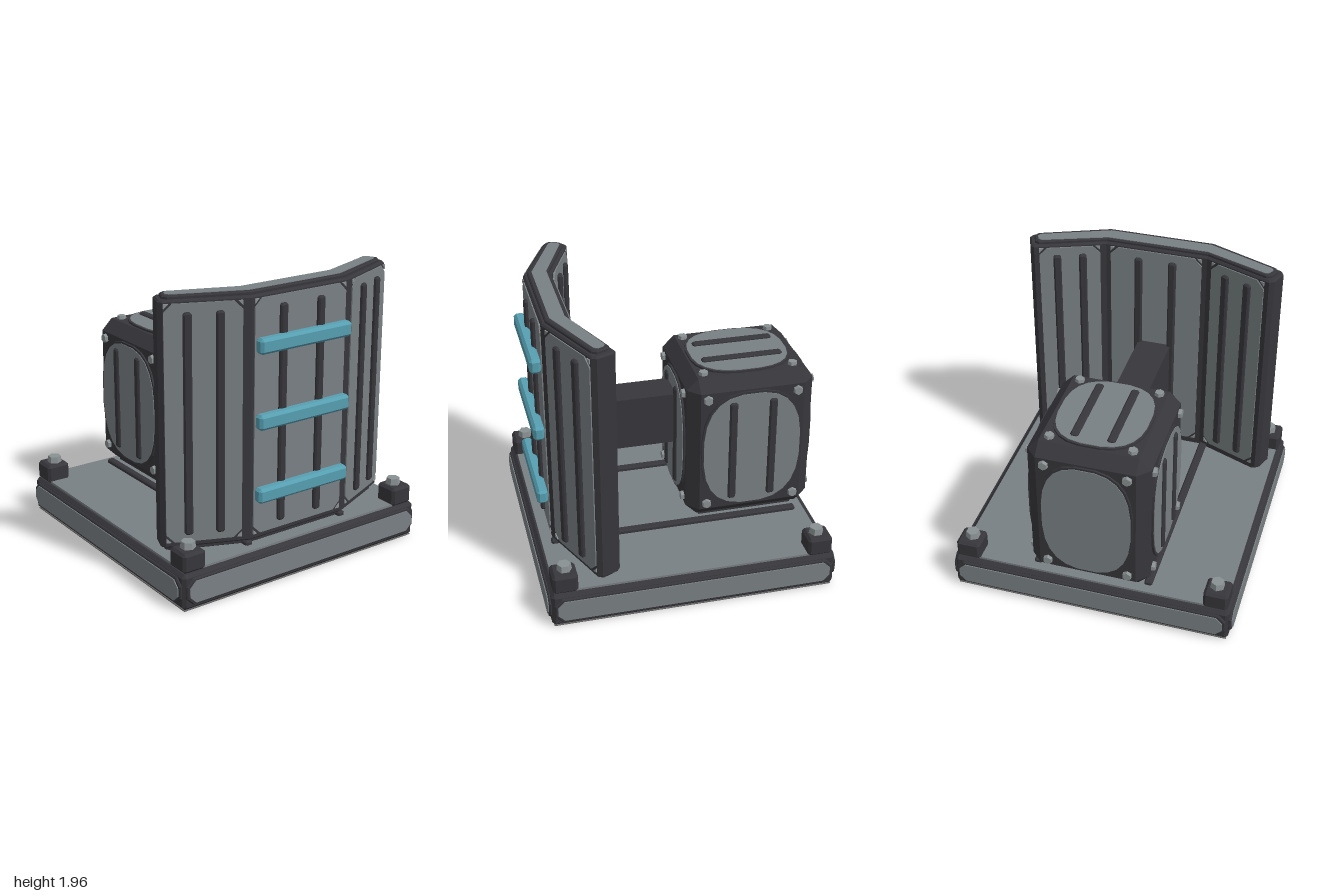
import * as THREE from 'three';
import { ConvexGeometry } from 'three/addons/geometries/ConvexGeometry.js';

const mat = (name, color) => Object.assign(new THREE.MeshStandardMaterial({ color }), { name });

export function createModel() {
  const dark = mat('darkFrame', 0x37363b);
  const grey = mat('greyPlate', 0x798083);
  const bolt = mat('boltMetal', 0x8a9193);
  const blue = mat('blueRung', 0x569fb1);
  const under = mat('underside', 0x686868);

  const model = new THREE.Group();
  model.name = 'shieldedBlock';

  const add = (parent, name, geo, material, x = 0, y = 0, z = 0) => {
    const m = new THREE.Mesh(geo, material);
    m.name = name;
    m.position.set(x, y, z);
    parent.add(m);
    return m;
  };
  const group = (parent, name, x = 0, y = 0, z = 0, rx = 0, ry = 0) => {
    const g = new THREE.Group();
    g.name = name;
    g.position.set(x, y, z);
    g.rotation.set(rx, ry, 0);
    parent.add(g);
    return g;
  };

  // Extrusion of an outline from z = 0 to z = depth, with bevelled rims
  const slab = (pts, depth, bevel = 0) => {
    const shape = new THREE.Shape(pts.map(([x, y]) => new THREE.Vector2(x, y)));
    return new THREE.ExtrudeGeometry(shape, {
      depth: depth - 2 * bevel, bevelEnabled: bevel > 0, bevelSize: bevel,
      bevelThickness: bevel, bevelOffset: -bevel, bevelSegments: 1,
    }).translate(0, 0, bevel);
  };
  const octagon = (w, h, c) => {
    const x = w / 2, y = h / 2;
    return [[x - c, -y], [x, c - y], [x, y - c], [x - c, y], [c - x, y], [-x, y - c], [-x, c - y], [c - x, -y]];
  };
  const oval = (w, h) => Array.from({ length: 24 }, (_, i) => {
    const a = ((i + 0.5) / 24) * Math.PI * 2, c = Math.cos(a), s = Math.sin(a);
    return [Math.sign(c) * Math.abs(c) ** 0.75 * w / 2, Math.sign(s) * Math.abs(s) ** 0.75 * h / 2];
  });
  // Box with every edge cut off
  const chamferBox = (w, h, d, c) => {
    const pts = [], half = [w / 2, h / 2, d / 2];
    for (const sx of [-1, 1]) for (const sy of [-1, 1]) for (const sz of [-1, 1])
      for (let axis = 0; axis < 3; axis++) {
        const v = half.map((n, i) => (i === axis ? n : n - c));
        pts.push(new THREE.Vector3(v[0] * sx, v[1] * sy, v[2] * sz));
      }
    return new ConvexGeometry(pts);
  };
  const hexBolt = (r, h) => new THREE.CylinderGeometry(r * 0.85, r, h, 6).toNonIndexed();
  const flat = (g) => { g.computeVertexNormals(); return g; };
  // Pair of raised upright strips on a face
  const strips = (face, dx, length, height, w = 0.055) => {
    for (const s of [-1, 1])
      add(face, 'strip', slab(octagon(w, length, 0.012), height, 0.01), dark, s * dx);
  };

  // Base
  const base = group(model, 'base');
  add(base, 'baseBody', chamferBox(1.956, 0.246, 1.956, 0.022), dark, 0, 0.129, 0);
  add(base, 'basePlinth', new THREE.BoxGeometry(1.9, 0.03, 1.9), dark, 0, 0.02, 0);
  add(base, 'undersidePlate', new THREE.BoxGeometry(1.93, 0.007, 1.93), under, 0, 0.0035, 0);
  const top = group(base, 'baseTop', 0, 0.25, 0, -Math.PI / 2);
  add(top, 'topPlate', slab(octagon(1.89, 1.89, 0.04), 0.017), grey);
  for (let i = 0; i < 4; i++) {
    const a = (i * Math.PI) / 2;
    const side = group(base, 'baseSide', Math.sin(a) * 0.97, 0.135, Math.cos(a) * 0.97, 0, a);
    add(side, 'sideRim', slab(octagon(1.92, 0.185, 0.05), 0.023, 0.008), dark);
    add(side, 'sidePlate', slab(octagon(1.88, 0.15, 0.045), 0.03), grey);
  }
  for (const sx of [-1, 1]) {
    add(base, 'rail', chamferBox(0.055, 0.045, 1.76, 0.01), dark, sx * 0.393, 0.272, 0);
    for (const sz of [-1, 1]) {
      add(base, 'cornerBlock', chamferBox(0.17, 0.135, 0.17, 0.018), dark, sx * 0.877, 0.318, sz * 0.877);
      add(base, 'cornerBolt', flat(hexBolt(0.053, 0.05)), bolt, sx * 0.87, 0.405, sz * 0.87);
    }
  }

  // Bent shield: half outline in plan, mirrored, extruded upward
  const shield = group(model, 'shield');
  const upright = (half, y0, y1, bevel) => {
    const pts = [...half, ...half.map(([x, z]) => [-x, z]).reverse()];
    return slab(pts.map(([x, z]) => [x, -z]), y1 - y0, bevel).rotateX(-Math.PI / 2).translate(0, y0, 0);
  };
  const body = [[0.385, 0.872], [0.895, 0.655], [0.913, 0.62], [0.872, 0.512], [0.838, 0.492], [0.365, 0.68]];
  const cap = [[0.375, 0.845], [0.855, 0.645], [0.875, 0.61], [0.845, 0.54], [0.81, 0.525], [0.365, 0.7]];
  const inset = [[0.365, 0.815], [0.83, 0.625], [0.845, 0.6], [0.825, 0.56], [0.8, 0.548], [0.36, 0.715]];
  add(shield, 'shieldBody', upright(body, 0.295, 1.935, 0.012), dark);
  add(shield, 'shieldCap', upright(cap, 1.92, 1.957, 0.008), dark);
  add(shield, 'shieldFoot', upright(cap, 0.262, 0.31, 0.008), dark);
  add(shield, 'capPlate', upright(inset, 1.953, 1.961, 0), grey);

  // Grey panel with cut corners, small corner gussets and two strips
  const panel = (name, w, x, z, ry, dx) => {
    const f = group(shield, name, x, 1.125, z, 0, ry);
    const h = 1.58, c = 0.055, t = 0.032;
    add(f, 'panelPlate', slab(octagon(w, h, c), 0.008), grey);
    for (const sx of [-1, 1]) for (const sy of [-1, 1]) {
      const X = sx * w / 2, Y = sy * h / 2;
      add(f, 'cornerGusset', slab([[X, Y], [X - sx * t, Y], [X, Y - sy * t]], 0.008), bolt);
    }
    strips(f, dx, 1.47, 0.035);
  };
  panel('frontPanel', 0.73, 0, 0.873, 0, 0.15);
  panel('backPanel', 0.66, 0, 0.679, Math.PI, 0.123);
  for (const s of [-1, 1]) {
    panel('frontWingPanel', 0.495, s * 0.665, 0.754, s * 0.402, 0.103);
    panel('backWingPanel', 0.43, s * 0.605, 0.584, Math.PI - s * -0.379, 0.09);
  }
  for (const y of [0.62, 1.12, 1.62])
    add(shield, 'rung', chamferBox(0.735, 0.102, 0.075, 0.018), blue, 0, y, 0.918);

  // Arm joining shield and block
  add(model, 'arm', new THREE.BoxGeometry(0.24, 0.38, 0.84), dark, 0, 0.97, 0.29);

  // Chamfered block with an oval plate, bolts and strips on its faces
  const block = group(model, 'block', 0, 0.84, -0.535);
  add(block, 'blockBody', chamferBox(0.83, 1.08, 0.89, 0.08), dark);
  add(block, 'blockFoot', new THREE.BoxGeometry(0.62, 0.06, 0.68), dark, 0, -0.55, 0);
  const blockFace = (name, pos, rx, ry, w, h, bx, by, dx, len) => {
    const f = group(block, name, ...pos, rx, ry);
    add(f, 'ovalRim', slab(oval(w + 0.03, h + 0.03), 0.013), dark);
    add(f, 'ovalPlate', slab(oval(w, h), 0.018), grey);
    for (const sx of [-1, 1]) for (const sy of [-1, 1])
      add(f, 'faceBolt', flat(hexBolt(0.036, 0.03).rotateX(Math.PI / 2)), bolt, sx * bx, sy * by, 0.008);
    if (len) strips(f, dx, len, 0.035);
  };
  blockFace('blockTop', [0, 0.54, 0], -Math.PI / 2, 0, 0.61, 0.68, 0.278, 0.315, 0.123, 0.57);
  blockFace('blockFront', [0, 0, 0.445], 0, 0, 0.61, 0.87, 0.278, 0.413, 0.123, 0.76);
  blockFace('blockBack', [0, 0, -0.445], 0, Math.PI, 0.61, 0.87, 0.278, 0.413, 0, 0);
  for (const s of [-1, 1])
    blockFace('blockSide', [s * 0.415, 0, 0], 0, s * Math.PI / 2, 0.69, 0.87, 0.315, 0.413, 0.14, 0.76);

  return model;
}
